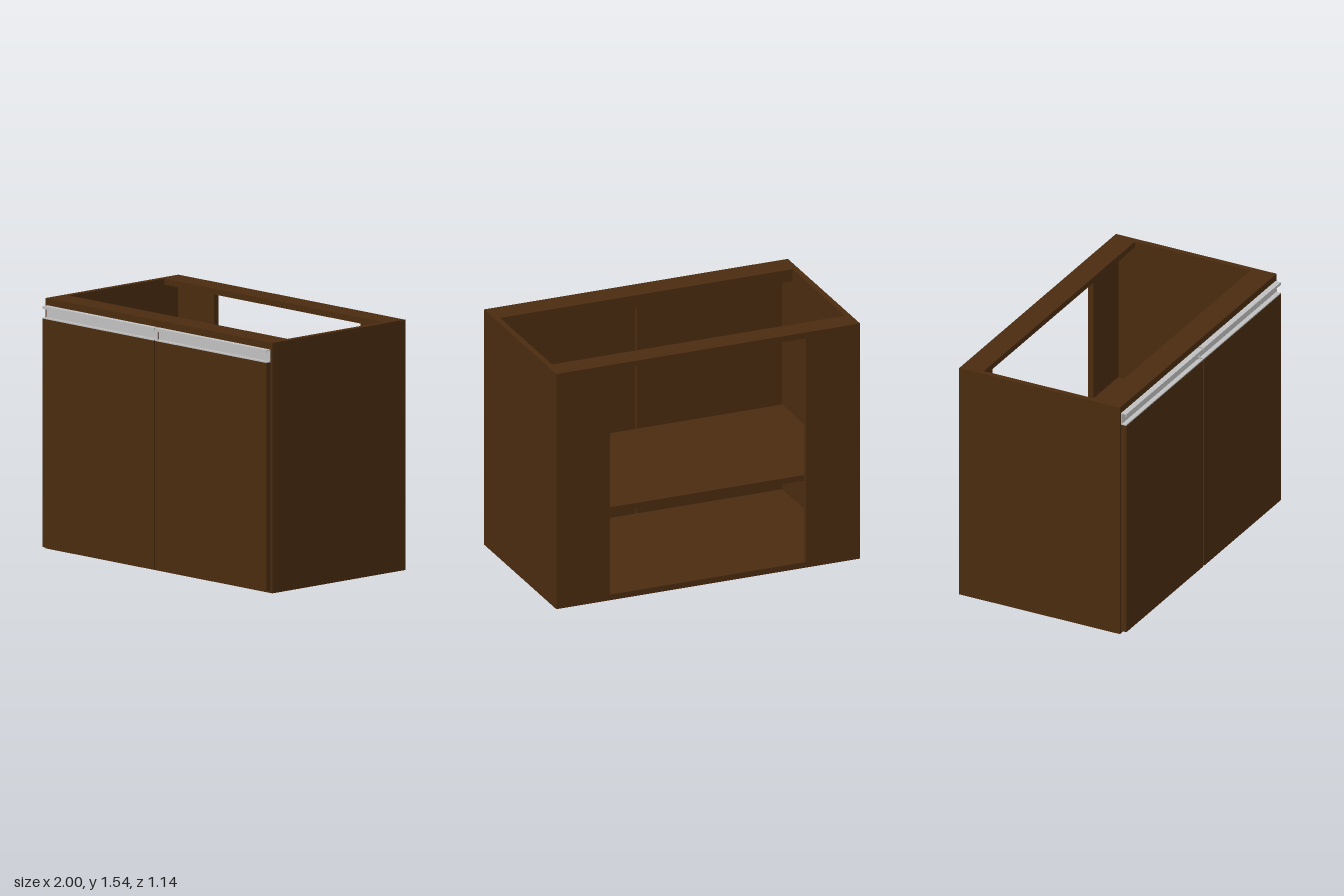
import * as THREE from 'three';

export function createModel() {
  const model = new THREE.Group();
  model.name = 'cabinet';

  const wood = new THREE.MeshStandardMaterial({ color: 0x4a2b0e });
  wood.name = 'dark brown wood';
  const metal = new THREE.MeshStandardMaterial({ color: 0xc0c0c0 });
  metal.name = 'light grey metal';

  // Box given by its extents along each axis
  function panel(name, [x0, x1], [y0, y1], [z0, z1], material = wood) {
    const mesh = new THREE.Mesh(new THREE.BoxGeometry(x1 - x0, y1 - y0, z1 - z0), material);
    mesh.position.set((x0 + x1) / 2, (y0 + y1) / 2, (z0 + z1) / 2);
    mesh.name = name;
    model.add(mesh);
  }

  const T = 0.037;                 // board thickness
  const H = 1.54;                  // cabinet height
  const back = -0.57, front = 0.533, face = 0.57;
  const inner = 1 - T;
  const width = [-inner, inner];

  // Carcass: floor, shelf and the two top rails (the top is otherwise open)
  panel('floor', width, [0, T], [back, front]);
  panel('shelf', width, [0.555, 0.592], [back + T, front]);
  panel('backRail', width, [H - T, H], [back, -0.42]);
  panel('frontRail', width, [1.46, H], [0.373, front]);

  // Handle section: a thin channel that opens to the front, with short lips
  const t = 0.005, y0 = 1.42, y1 = 1.498;
  const profile = new THREE.Shape([
    [front, y0], [face, y0], [face, y0 + 0.008], [face - t, y0 + 0.008], [face - t, y0 + t],
    [front + t, y0 + t], [front + t, y1 - t], [face - t, y1 - t], [face - t, y1 - 0.018],
    [face, y1 - 0.018], [face, y1], [front, y1],
  ].map(([z, y]) => new THREE.Vector2(-z, y)));
  const doorWidth = 0.979;
  const handleGeometry = new THREE.ExtrudeGeometry(profile, { depth: doorWidth, bevelEnabled: false });
  handleGeometry.rotateY(Math.PI / 2);   // length along x, profile facing +z

  for (const [side, s] of [['left', 1], ['right', -1]]) {
    const span = (a, b) => (s > 0 ? [a, b] : [-b, -a]);
    panel(side + 'Side', span(inner, 1), [0, H], [back, front]);
    panel(side + 'BackStile', span(0.645, inner), [T, H - T], [back, back + T]);
    panel(side + 'Door', span(0.006, 0.985), [0.015, y0], [front, face]);

    const handle = new THREE.Mesh(handleGeometry, metal);
    handle.name = side + 'DoorHandle';
    handle.position.x = s > 0 ? 0.006 : -0.985;
    model.add(handle);
  }

  return model;
}
